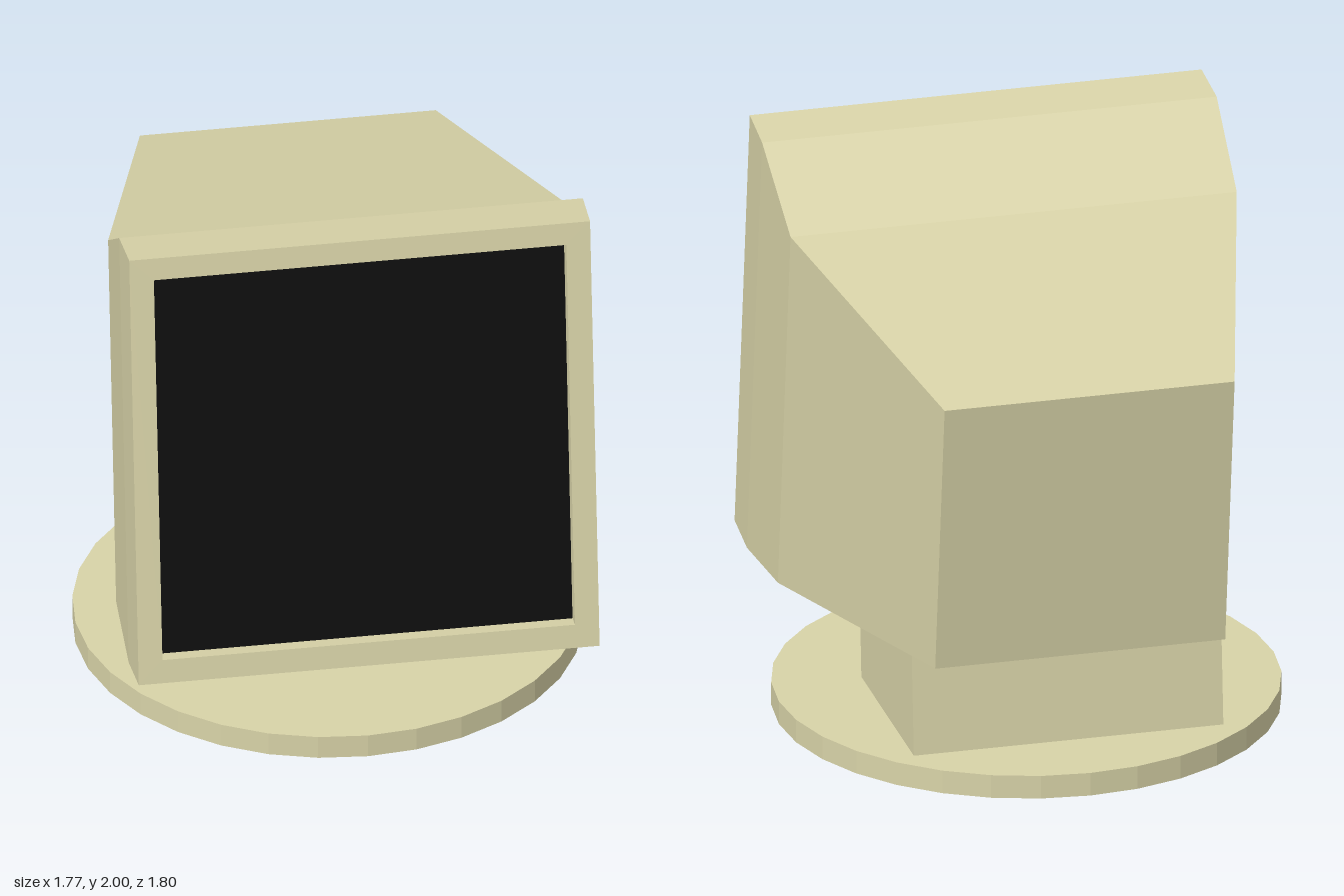
import * as THREE from 'three';

const shell = new THREE.MeshStandardMaterial({ color: 0xd8d3a8, flatShading: true });
const black = new THREE.MeshStandardMaterial({ color: 0x0d0d0d, flatShading: true });

// Four corners of a section: half width in x, then (y, z) of its two edges
const section = ([w, [y0, z0], [y1, z1]]) => [
  [-w, y0, z0], [w, y0, z0], [w, y1, z1], [-w, y1, z1],
];

// Faceted skin through a row of sections, with optional end caps
function loft(sections, capStart, capEnd) {
  const rings = sections.map(section);
  const pos = [];
  const quad = (a, b, c, d) => pos.push(...a, ...b, ...c, ...a, ...c, ...d);
  for (let i = 0; i < rings.length - 1; i++) {
    for (let k = 0; k < 4; k++) {
      const n = (k + 1) % 4;
      quad(rings[i][k], rings[i][n], rings[i + 1][n], rings[i + 1][k]);
    }
  }
  if (capStart) quad(...[...rings[0]].reverse());
  if (capEnd) quad(...rings[rings.length - 1]);
  const geo = new THREE.BufferGeometry();
  geo.setAttribute('position', new THREE.Float32BufferAttribute(pos, 3));
  geo.computeVertexNormals();
  return geo;
}

export function createModel() {
  const group = new THREE.Group();
  const add = (name, geo, mat) => {
    const mesh = new THREE.Mesh(geo, mat);
    mesh.name = name;
    group.add(mesh);
    return mesh;
  };

  // Tilted housing, from the back panel forward, then into the screen recess
  const recess = [0.725, [0.468, 0.835], [1.911, 0.647]];
  add('housing', loft([
    [0.52, [0.475, -0.755], [1.5, -0.885]],
    [0.80, [0.38, 0.34], [1.755, 0.165]],
    [0.815, [0.362, 0.71], [1.975, 0.5]],
    [0.81, [0.387, 0.9], [2.0, 0.69]],
    [0.725, [0.475, 0.889], [1.918, 0.701]],
    recess,
  ], true, false), shell);

  // Screen at the bottom of the recess
  add('screen', loft([recess], false, true), black);

  // Leaning neck, its top sunk into the housing
  add('neck', loft([
    [0.555, [0.08, 0.13], [0.08, -0.595]],
    [0.555, [0.45, 0.158], [0.5, -0.562]],
  ], true, true), shell);

  // Round foot
  const base = add('base', new THREE.CylinderGeometry(0.887, 0.887, 0.085, 32), shell);
  base.position.set(0, 0.0425, -0.01);

  return group;
}
